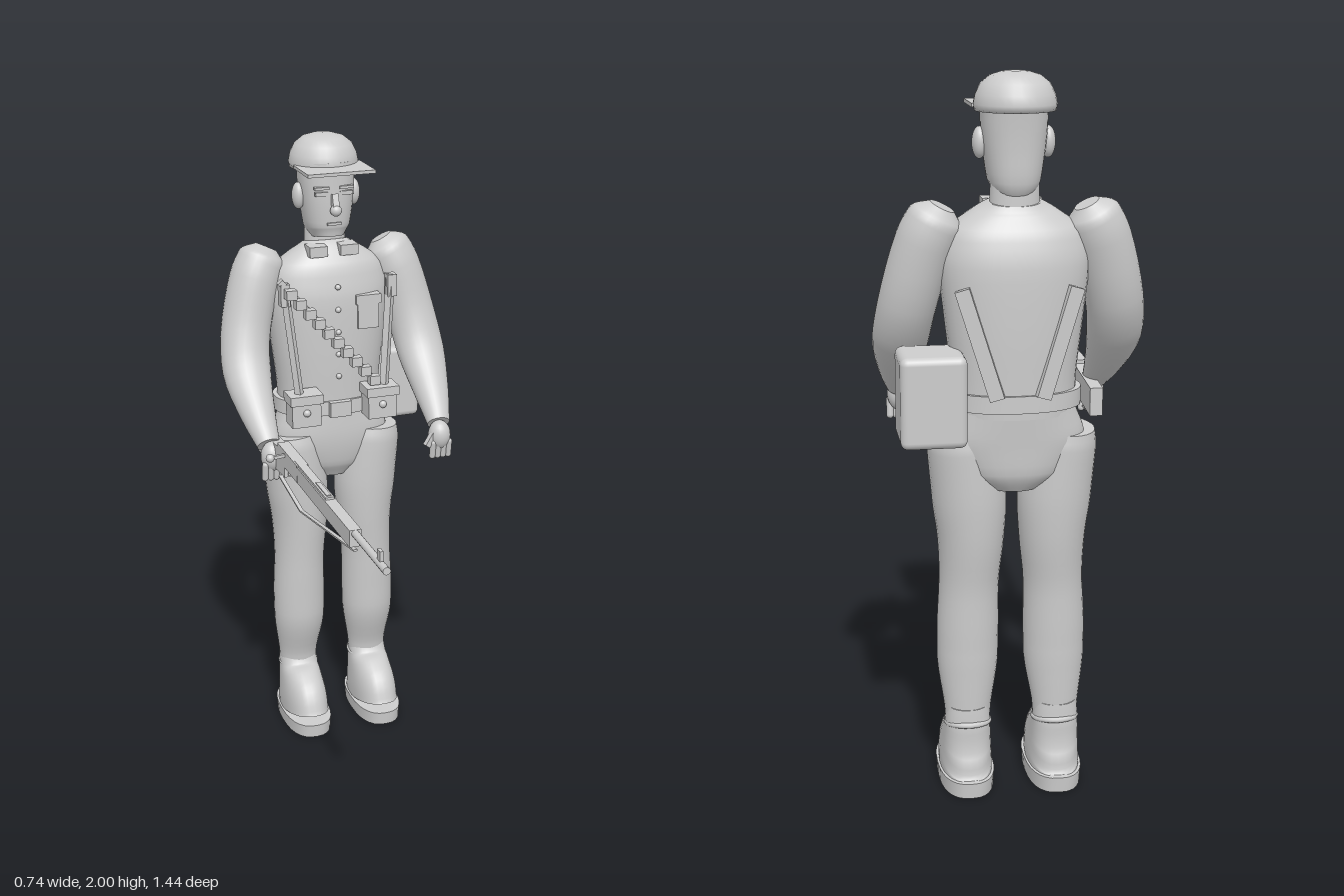
import * as THREE from 'three';
import { RoundedBoxGeometry } from 'three/addons/geometries/RoundedBoxGeometry.js';

const grey = new THREE.MeshStandardMaterial({ color: 0xcccccc });
grey.name = 'plain grey';

export function createModel() {
  const model = new THREE.Group();
  model.name = 'soldier';

  const add = (name, geo, x = 0, y = 0, z = 0) => {
    const m = new THREE.Mesh(geo, grey);
    m.name = name;
    m.position.set(x, y, z);
    model.add(m);
    return m;
  };
  const box = (name, w, h, d, x, y, z) => add(name, new THREE.BoxGeometry(w, h, d), x, y, z);
  const ball = (name, rx, ry, rz, x, y, z) => {
    const m = add(name, new THREE.SphereGeometry(1, 20, 14), x, y, z);
    m.scale.set(rx, ry, rz);
    return m;
  };
  // straight bar between two points
  const bar = (name, a, b, w, d) => {
    const p = new THREE.Vector3(...a), q = new THREE.Vector3(...b);
    const m = add(name, new THREE.BoxGeometry(w, d, p.distanceTo(q)));
    m.position.copy(p).add(q).multiplyScalar(0.5);
    m.lookAt(q);
    return m;
  };
  // smooth body from cross-sections [x, y, z, rx, rz]; e < 1 makes rings squarer
  const loft = (name, sections, e = 1, sides = 28, perSection = 4) => {
    const path = new THREE.CatmullRomCurve3(sections.map(s => new THREE.Vector3(s[0], s[1], s[2])));
    const radii = new THREE.CatmullRomCurve3(sections.map(s => new THREE.Vector3(s[3], s[4], 0)));
    const n = (sections.length - 1) * perSection, pos = [], idx = [];
    const pw = v => Math.sign(v) * Math.abs(v) ** e;
    const ring = (t, k) => {
      const c = path.getPoint(t), r = radii.getPoint(t), T = path.getTangent(t);
      const side = new THREE.Vector3(1, 0, 0).addScaledVector(T, -T.x).normalize();
      const fwd = side.clone().cross(T);
      for (let j = 0; j < sides; j++) {
        const a = (j / sides) * Math.PI * 2;
        const p = c.clone().addScaledVector(side, k * r.x * pw(Math.cos(a)))
          .addScaledVector(fwd, k * r.y * pw(Math.sin(a)));
        pos.push(p.x, p.y, p.z);
      }
    };
    ring(0, 0); ring(0, 1);
    for (let i = 0; i <= n; i++) ring(i / n, 1);
    ring(1, 1); ring(1, 0);
    for (let i = 0; i < n + 4; i++) for (let j = 0; j < sides; j++) {
      const a = i * sides + j, b = i * sides + (j + 1) % sides;
      idx.push(a, a + sides, b, b, a + sides, b + sides);
    }
    const g = new THREE.BufferGeometry();
    g.setAttribute('position', new THREE.Float32BufferAttribute(pos, 3));
    g.setIndex(idx);
    g.computeVertexNormals();
    return add(name, g);
  };

  // torso, hips and belt
  loft('torso', [[0, 1.1, -.56, .165, .115], [0, 1.2, -.56, .168, .118], [0, 1.35, -.56, .185, .122],
    [0, 1.5, -.56, .2, .12], [0, 1.59, -.56, .18, .1], [0, 1.64, -.565, .115, .07], [0, 1.665, -.57, .07, .05]], .9, 36);
  loft('hips', [[0, .89, -.56, .07, .07], [0, .94, -.56, .15, .1], [0, 1.03, -.555, .195, .112],
    [0, 1.12, -.56, .165, .115]], .9, 36);
  loft('belt', [[0, 1.12, -.56, .182, .124], [0, 1.167, -.56, .182, .124]], .9, 36, 1);
  box('buckle', .07, .05, .02, 0, 1.143, -.43);

  // head and neck
  loft('neck', [[0, 1.62, -.57, .068, .05], [0, 1.74, -.57, .064, .045]], 1, 24, 1);
  loft('head', [[0, 1.685, -.545, .05, .068], [0, 1.72, -.55, .07, .081], [0, 1.8, -.55, .082, .085],
    [0, 1.86, -.552, .087, .087], [0, 1.92, -.555, .088, .09]], .85);
  bar('nose', [0, 1.83, -.465], [0, 1.785, -.45], .02, .022);
  ball('noseTip', .018, .018, .018, 0, 1.782, -.45);
  box('mouth', .045, .008, .01, 0, 1.737, -.468);
  for (const s of [-1, 1]) {
    ball('ear', .02, .042, .027, s * .09, 1.815, -.55);
    box('eye', .04, .012, .014, s * .04, 1.832, -.47);
    box('eyebrow', .046, .008, .016, s * .04, 1.85, -.468);
    box('collarTab', .058, .033, .06, s * .05, 1.65, -.5);
  }

  // cap
  const dome = [[0, 1.898], [.106, 1.898], [.109, 1.915], [.104, 1.94], [.09, 1.968], [.065, 1.988], [.035, 1.997], [0, 2]];
  add('capDome', new THREE.LatheGeometry(dome.map(p => new THREE.Vector2(...p)), 32), 0, 0, -.572);
  box('capBrim', .216, .01, .15, 0, 1.908, -.46);

  for (const s of [-1, 1]) {
    // arm
    loft('arm', [[.19, 1.655, -.575, .035, .03], [.205, 1.625, -.57, .075, .065], [.235, 1.56, -.56, .08, .074],
      [.278, 1.4, -.53, .079, .074], [.293, 1.29, -.475, .077, .066], [.29, 1.18, -.365, .055, .05],
      [.282, 1.11, -.285, .036, .033]].map(p => [s * p[0], ...p.slice(1)]));
    // hand with curled fingers and thumb
    ball('palm', .036, .048, .036, s * .277, 1.078, -.265);
    for (let i = 0; i < 4; i++) {
      const f = add('finger', new THREE.CapsuleGeometry(.0105, .045, 4, 8), s * (.25 + i * .018), 1.035, -.252);
      f.rotation.x = .15;
    }
    bar('thumb', [s * .255, 1.09, -.255], [s * .228, 1.05, -.25], .018, .018);

    // leg
    loft('leg', [[.135, 1.045, -.543, .092, .098], [.132, 1, -.541, .1, .105], [.118, .86, -.54, .102, .103],
      [.113, .74, -.538, .092, .096], [.118, .6, -.533, .083, .083], [.121, .48, -.533, .086, .08],
      [.122, .38, -.534, .085, .077], [.124, .25, -.55, .066, .056], [.124, .18, -.55, .06, .05]]
      .map(p => [s * p[0], ...p.slice(1)]));

    // boot
    loft('sole', [[s * .125, 0, -.495, .076, .153], [s * .125, .045, -.495, .079, .156]], .8, 28, 1);
    loft('boot', [[.125, .045, -.495, .073, .148], [.125, .085, -.503, .073, .138], [.125, .135, -.525, .069, .108],
      [.125, .18, -.547, .065, .066], [.125, .22, -.556, .062, .053], [.125, .255, -.562, .056, .045]]
      .map(p => [s * p[0], ...p.slice(1)]), .85);
    const lace = add('bootTop', new THREE.TorusGeometry(.06, .008, 8, 24), s * .124, .195, -.552);
    lace.rotation.x = Math.PI / 2 + .15;

    // ammunition pouches and harness straps
    box('pouch', .095, .085, .07, s * .127, 1.155, -.415);
    box('pouchFlap', .108, .03, .08, s * .127, 1.203, -.412);
    ball('pouchStud', .012, .012, .01, s * .127, 1.16, -.378);
    bar('frontStrap', [s * .142, 1.215, -.41], [s * .175, 1.57, -.44], .022, .02);
    box('strapBuckle', .03, .07, .035, s * .175, 1.535, -.44);
    bar('backStrap', [s * .06, 1.16, -.678], [s * .15, 1.45, -.66], .022, .04);
  }

  // buttons and chest pocket
  for (let i = 0; i < 5; i++) ball('button', .009, .009, .009, 0, 1.25 + i * .073, -.439);
  box('pocket', .07, .09, .03, .1, 1.445, -.45);
  box('pocketFlap', .082, .03, .036, .1, 1.495, -.45);

  // bandolier with a row of stepped clips
  bar('bandolier', [-.19, 1.58, -.435], [.13, 1.21, -.42], .022, .02);
  for (let i = 0; i < 10; i++) box('bandolierClip', .034, .03, .03, -.165 + i * .03, 1.545 - i * .034, -.402);

  // side bag
  add('bag', new RoundedBoxGeometry(.175, .245, .172, 3, .02), .23, 1.163, -.633);

  // rifle
  const rx = -.257;
  const barrel = add('barrel', new THREE.CylinderGeometry(.011, .011, .85, 14), rx, 1.126, .295);
  barrel.rotation.x = Math.PI / 2;
  box('frontSight', .01, .03, .022, rx, 1.15, .67);
  box('foreStock', .034, .05, .5, rx, 1.112, .22);
  box('handGuard', .026, .02, .3, rx, 1.134, .1);
  box('receiver', .036, .055, .2, rx, 1.115, -.11);
  box('rearSight', .014, .014, .1, rx, 1.14, .19);
  box('triggerGuard', .014, .035, .07, rx, 1.078, -.17);
  bar('boltHandle', [rx, 1.13, -.137], [-.315, 1.125, -.137], .01, .01);
  ball('boltKnob', .013, .013, .013, -.32, 1.125, -.137);
  const butt = new THREE.Shape([[-.14, 1.14], [-.14, 1.055], [-.43, 1.035], [-.43, 1.115], [-.26, 1.125]]
    .map(p => new THREE.Vector2(-p[0], p[1])));
  const stock = add('stock', new THREE.ExtrudeGeometry(butt, { depth: .036, bevelEnabled: false }), rx - .018, 0, 0);
  stock.rotation.y = Math.PI / 2;
  bar('slingFront', [rx, 1.076, .47], [rx, .987, -.03], .012, .005);
  bar('slingRear', [rx, .987, -.03], [rx, 1.04, -.42], .012, .005);

  return model;
}
